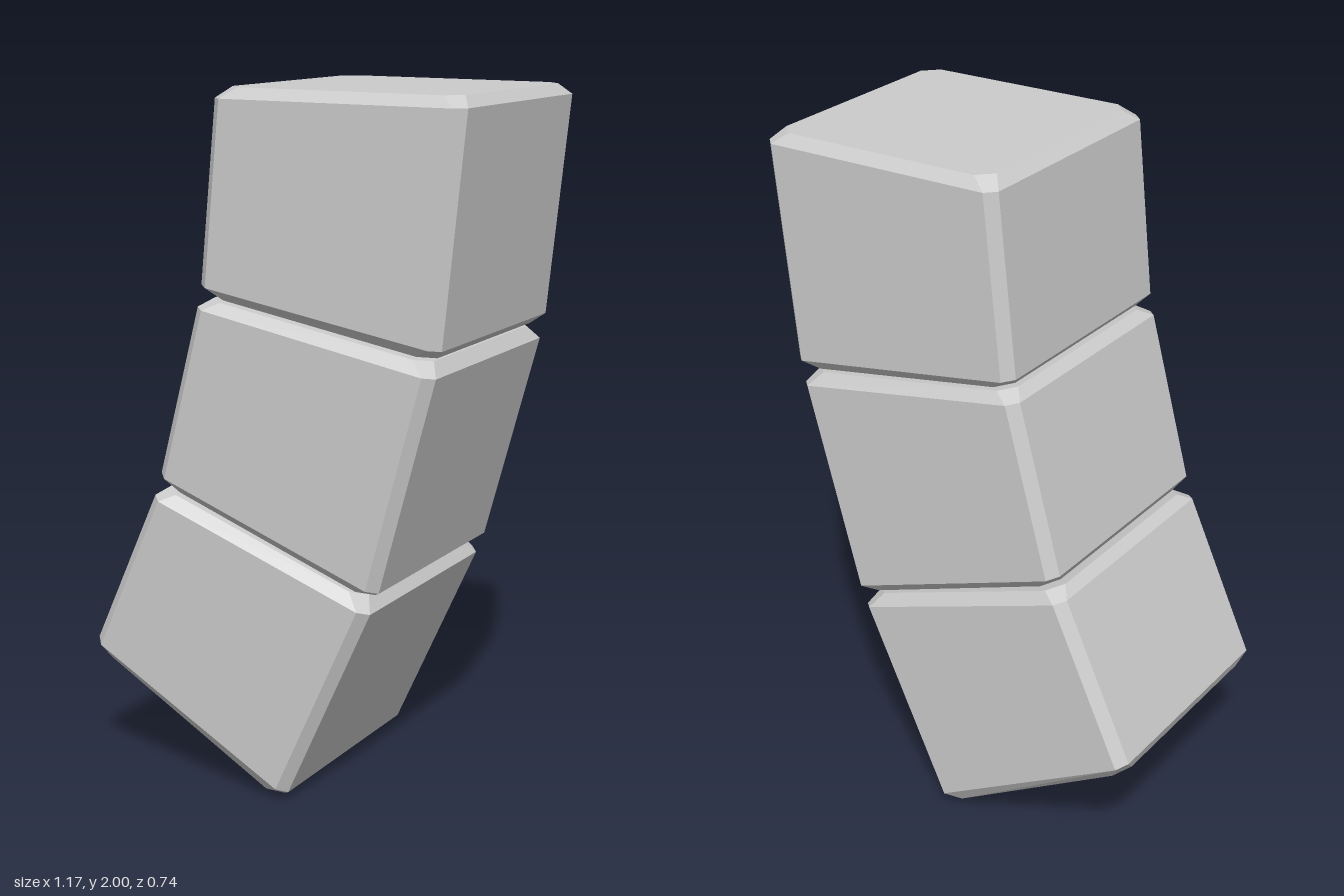
import * as THREE from 'three';

const material = new THREE.MeshStandardMaterial({ color: 0xcccccc, flatShading: true });

// Corner-cut rectangle spanning from left to right point, with the given half depth.
function ring([lx, ly], [rx, ry], depth, cut) {
  const left = new THREE.Vector3(lx, ly, 0);
  const right = new THREE.Vector3(rx, ry, 0);
  const t = cut / left.distanceTo(right);
  const corner = (f, z) => left.clone().lerp(right, f).setZ(z);
  return [
    corner(t, depth), corner(1 - t, depth), corner(1, depth - cut), corner(1, cut - depth),
    corner(1 - t, -depth), corner(t, -depth), corner(0, cut - depth), corner(0, depth - cut),
  ];
}

// Joins the rings from bottom to top and closes both ends.
function loft(rings) {
  const points = [];
  const triangle = (a, b, c) => points.push(a, b, c);
  for (let r = 0; r < rings.length - 1; r++) {
    const low = rings[r], high = rings[r + 1];
    for (let i = 0; i < 8; i++) {
      const j = (i + 1) % 8;
      triangle(low[i], low[j], high[j]);
      triangle(low[i], high[j], high[i]);
    }
  }
  const bottom = rings[0], top = rings[rings.length - 1];
  for (let i = 1; i < 7; i++) {
    triangle(bottom[0], bottom[i + 1], bottom[i]);
    triangle(top[0], top[i], top[i + 1]);
  }
  const geometry = new THREE.BufferGeometry().setFromPoints(points);
  geometry.computeVertexNormals();
  return geometry;
}

// Each block: left and right ends of its bottom face, lower rim, upper rim and top face.
const blocks = {
  lowerBlock: [
    [[-0.574, 0.347], [0.02, 0]],
    [[-0.587, 0.385], [0.055, 0.024]],
    [[-0.378, 0.844], [0.315, 0.595]],
    [[-0.347, 0.867], [0.29, 0.638]],
  ],
  middleBlock: [
    [[-0.331, 0.876], [0.31, 0.64]],
    [[-0.355, 0.913], [0.341, 0.659]],
    [[-0.225, 1.4], [0.505, 1.267]],
    [[-0.193, 1.423], [0.479, 1.306]],
  ],
  upperBlock: [
    [[-0.183, 1.431], [0.489, 1.315]],
    [[-0.212, 1.463], [0.521, 1.341]],
    [[-0.161, 1.97], [0.585, 1.966]],
    [[-0.129, 2], [0.558, 1.996]],
  ],
};

export function createModel() {
  const group = new THREE.Group();
  group.name = 'leaningBlockColumn';
  for (const [name, levels] of Object.entries(blocks)) {
    // The end faces are inset with wider corner cuts.
    const rings = levels.map(([left, right], i) =>
      i === 0 || i === 3 ? ring(left, right, 0.345, 0.042) : ring(left, right, 0.372, 0.029));
    const mesh = new THREE.Mesh(loft(rings), material);
    mesh.name = name;
    group.add(mesh);
  }
  return group;
}
